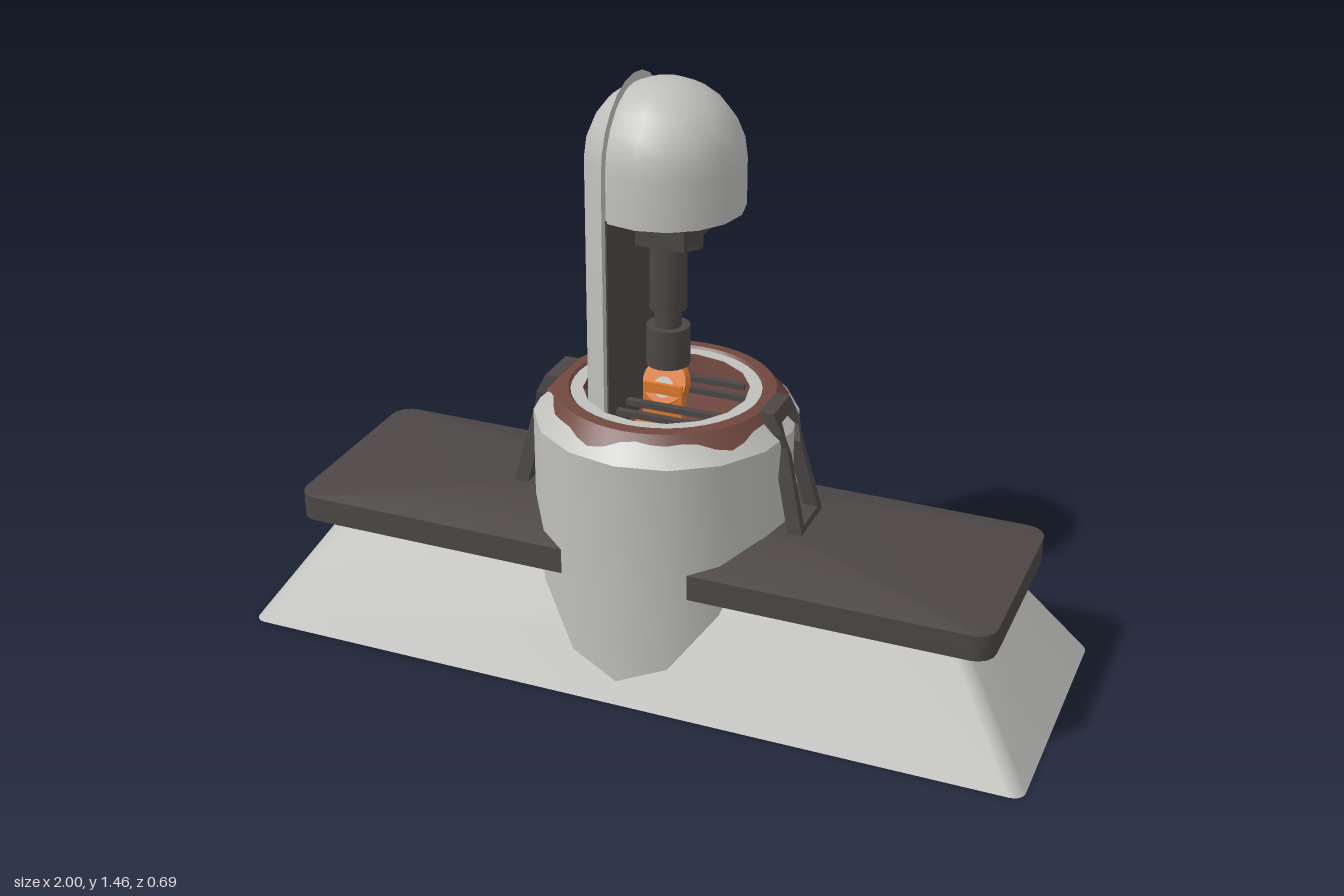
import * as THREE from 'three';
import { toCreasedNormals } from 'three/addons/utils/BufferGeometryUtils.js';

const mat = (name, color, side = THREE.FrontSide) => {
  const m = new THREE.MeshStandardMaterial({ color, side });
  m.name = name;
  return m;
};

// Stack of rounded rectangles [halfX, halfZ, cornerRadius, y], optionally capped.
function loft(loops, capBottom, capTop) {
  const pos = [], idx = [], per = 20;
  for (const [hx, hz, r, y] of loops) {
    for (let q = 0; q < 4; q++) {
      const sx = q === 0 || q === 3 ? 1 : -1, sz = q < 2 ? 1 : -1;
      for (let k = 0; k < 5; k++) {
        const a = (q + k / 4) * Math.PI / 2;
        pos.push(sx * (hx - r) + r * Math.cos(a), y, sz * (hz - r) + r * Math.sin(a));
      }
    }
  }
  for (let i = 0; i < loops.length - 1; i++) {
    for (let j = 0; j < per; j++) {
      const a = i * per + j, b = i * per + (j + 1) % per;
      idx.push(a, a + per, b, b, a + per, b + per);
    }
  }
  const cap = (i, up) => {
    const c = pos.length / 3;
    pos.push(0, loops[i][3], 0);
    for (let j = 0; j < per; j++) {
      const a = i * per + j, b = i * per + (j + 1) % per;
      idx.push(c, up ? b : a, up ? a : b);
    }
  };
  if (capBottom) cap(0, false);
  if (capTop) cap(loops.length - 1, true);
  const g = new THREE.BufferGeometry();
  g.setAttribute('position', new THREE.Float32BufferAttribute(pos, 3));
  g.setIndex(idx);
  return toCreasedNormals(g, 0.55);
}

const lathe = (pts, seg) =>
  new THREE.LatheGeometry(pts.map(p => new THREE.Vector2(p[0], p[1])), seg);

// Straight wall from y0 to y1, closed by a half sphere.
function domeProfile(r, y0, y1) {
  const pts = [[r, y0], [r, y1]];
  for (let i = 1; i <= 6; i++) {
    const a = i / 6 * Math.PI / 2;
    pts.push([i === 6 ? 0 : r * Math.cos(a), y1 + r * Math.sin(a)]);
  }
  return pts;
}

export function createModel() {
  const group = new THREE.Group();
  const shell = mat('lightGreyShell', 0xbfbfbc, THREE.DoubleSide);
  const dark = mat('darkMetal', 0x4c4746);
  const rust = mat('rustBrown', 0x70473f, THREE.DoubleSide);
  const orange = mat('glowingOrange', 0xde7a2c);

  const add = (name, geo, m, x = 0, y = 0, z = 0) => {
    const mesh = new THREE.Mesh(geo, m);
    mesh.name = name;
    mesh.position.set(x, y, z);
    group.add(mesh);
    return mesh;
  };
  const rod = (name, r, y0, y1, x, z, m = dark) =>
    add(name, toCreasedNormals(new THREE.CylinderGeometry(r, r, y1 - y0, 16), 0.6), m, x, (y0 + y1) / 2, z);

  // Hollow sloping plinth and the overhanging deck
  add('plinth', loft([[1, 0.345, 0.03, 0], [0.775, 0.182, 0.03, 0.32]]), shell);
  add('deck', loft([
    [0.84, 0.22, 0.03, 0.32], [0.86, 0.24, 0.04, 0.32], [0.86, 0.24, 0.04, 0.285],
    [0.89, 0.27, 0.05, 0.285], [0.89, 0.27, 0.05, 0.35], [0.46, 0.13, 0.03, 0.4],
  ], true, true), dark);

  // Central drum with a bevelled shoulder
  add('drum', toCreasedNormals(lathe([[0.32, 0], [0.32, 0.63], [0.26, 0.69], [0.2, 0.69]], 16), 0.5), shell);

  // Rusted rim and pit, with a ragged lower edge lying on the shoulder
  const rim = lathe([[0.29, 0.67], [0.264, 0.694], [0.235, 0.696], [0.225, 0.685],
    [0.2, 0.685], [0.19, 0.61], [0, 0.61]], 48);
  const p = rim.attributes.position;
  for (let s = 0; s <= 48; s++) {
    const a = s / 48 * Math.PI * 2;
    const y = 0.668 + 0.01 * Math.sin(5 * a) + 0.006 * Math.sin(11 * a + 1);
    const r = 0.953 - y;
    p.setXYZ(s * 7, r * Math.sin(a), y, r * Math.cos(a));
  }
  add('rustedRim', toCreasedNormals(rim, 0.4), rust);

  // Grate bars over the pit
  for (const z of [-0.12, -0.06, 0.06, 0.12]) {
    const len = 2 * Math.sqrt(0.198 ** 2 - z * z);
    add('grateBar', new THREE.BoxGeometry(len, 0.014, 0.018), dark, 0, 0.665, z);
  }

  // Glowing workpiece in the middle, and embers below
  const work = add('glowingWorkpiece',
    new THREE.CylinderGeometry(0.055, 0.06, 0.022, 20), orange, -0.005, 0.7, -0.008);
  work.rotation.x = Math.PI / 2 - 0.4;
  const core = add('workpieceCore', new THREE.CylinderGeometry(0.026, 0.026, 0.006, 16), shell, -0.005, 0.69, 0.005);
  core.rotation.x = work.rotation.x;
  add('workpieceFoot', new THREE.BoxGeometry(0.1, 0.09, 0.03), orange, -0.005, 0.655, 0);
  add('ember', new THREE.CylinderGeometry(0.035, 0.04, 0.03, 10), orange, 0, 0.63, 0.11);

  // Column: the same round-topped form, cut flat on the inner side
  const column = lathe(domeProfile(0.188, 0.61, 1.27), 32);
  const c = column.attributes.position;
  for (let i = 0; i < c.count; i++) c.setX(i, Math.min(c.getX(i), -0.08));
  add('column', toCreasedNormals(column, 0.5), shell);
  add('columnInnerPlate', new THREE.BoxGeometry(0.006, 0.55, 0.336), dark, -0.079, 0.885, 0);
  const port = add('columnPort', new THREE.CylinderGeometry(0.014, 0.014, 0.008, 12), dark, -0.162, 1.165, -0.094);
  port.rotation.set(0, -Math.PI / 6, Math.PI / 2);

  // Domed head with a dark underside
  add('domeHead', toCreasedNormals(lathe(domeProfile(0.185, 1.155, 1.27), 16), 0.6), shell);
  add('headUnderside', new THREE.CylinderGeometry(0.18, 0.18, 0.008, 16), dark, 0, 1.17, 0);
  add('toolMount', new THREE.BoxGeometry(0.12, 0.08, 0.245), dark, 0.03, 1.13, -0.007);

  // Hanging press tool and the small side emitter
  rod('toolStem', 0.044, 0.92, 1.095, 0.024, 0.046);
  rod('toolNeck', 0.032, 0.87, 0.925, 0.024, 0.048);
  rod('toolHead', 0.052, 0.78, 0.877, 0.024, 0.048);
  rod('emitter', 0.036, 1.028, 1.095, 0.024, -0.075);
  rod('emitterLens', 0.026, 1.024, 1.03, 0.024, -0.075, orange);

  // Side braces: open frames leaning from the deck onto the rim
  const frame = new THREE.Shape([
    [-0.077, 0.39], [0.077, 0.39], [0.05, 0.61], [0.06, 0.645],
    [0.058, 0.695], [-0.058, 0.695], [-0.06, 0.645], [-0.05, 0.61],
  ].map(q => new THREE.Vector2(...q)));
  frame.holes.push(new THREE.Path([
    [-0.05, 0.415], [-0.033, 0.59], [-0.045, 0.63], [-0.035, 0.668],
    [0.035, 0.668], [0.045, 0.63], [0.033, 0.59], [0.05, 0.415],
  ].map(q => new THREE.Vector2(...q))));
  const brace = new THREE.ExtrudeGeometry(frame, { depth: 0.036, bevelEnabled: false });
  brace.rotateY(Math.PI / 2);
  const b = brace.attributes.position;
  for (let i = 0; i < b.count; i++) {
    const y = b.getY(i);
    const lean = y < 0.645 ? 0.34 - (y - 0.4) * 0.24 : 0.281 - (y - 0.645) * 0.5;
    b.setX(i, b.getX(i) + lean);
  }
  brace.computeVertexNormals();
  for (const turn of [0, Math.PI]) add('sideBrace', brace, dark).rotation.y = turn;

  return group;
}
